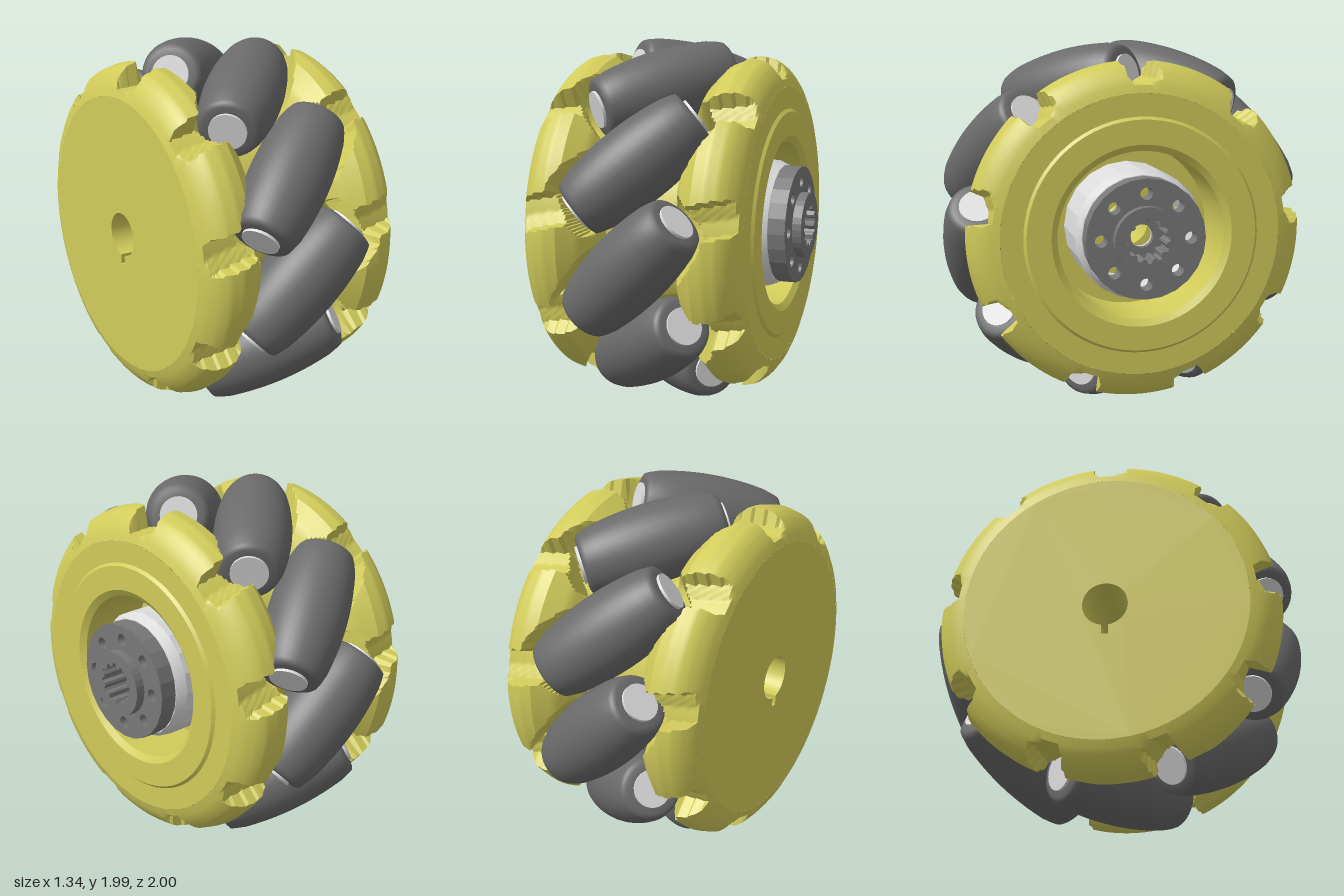
import * as THREE from 'three';
import { toCreasedNormals } from 'three/addons/utils/BufferGeometryUtils.js';

const COUNT = 9;              // rollers
const SECTOR = (Math.PI * 2) / COUNT;
const FIRST = Math.PI / 6;    // angle of the first roller, from +z towards +y
const ORBIT = 0.79;           // distance of roller axes from the wheel axis
const MID = -0.07;            // x of the wheel's middle plane
const HALF = 0.385;           // half length of a roller

const mat = (name, color, side = THREE.FrontSide) => {
  const m = new THREE.MeshStandardMaterial({ color, side });
  m.name = name;
  return m;
};

// Barrel radius, so that the slanted rollers together roll as one circle
const rollerRadius = (t) => 1 - Math.sqrt(ORBIT * ORBIT + (t * t) / 2);

// Half profile of the rim: distance from the middle plane, radius
const RIM = [[0, 0.6], [0.2, 0.62], [0.22, 0.72], [0.27, 0.82], [0.36, 0.9],
  [0.43, 0.912], [0.5, 0.895], [0.54, 0.865], [0.58, 0.81], [0.6, 0.75]];
function rimRadius(o) {
  const a = Math.abs(o);
  for (let i = 1; i < RIM.length; i++) {
    const [x0, r0] = RIM[i - 1], [x1, r1] = RIM[i];
    if (a <= x1) return r0 + ((r1 - r0) * (a - x0)) / (x1 - x0);
  }
  return 0.75;
}

// Is the point (offset, radius, angle from roller) in a roller pocket or its end slot?
function inPocket(o, r, d) {
  const s = r * Math.sin(d);
  const t = (o + s) / Math.SQRT2, w = (o - s) / Math.SQRT2;
  const h = r * Math.cos(d) - ORBIT;
  if (Math.abs(t) < 0.415) {
    const c = rollerRadius(t) + 0.02;
    if (Math.abs(w) < c && (h > 0 || w * w + h * h < c * c)) return true;
  }
  const a = Math.abs(o), side = Math.sign(o);
  const off = d * ORBIT * side - (0.25 + 0.2 * (a - 0.27));
  return a > 0.2 && r > 0.79 + 0.5 * Math.max(0, off) && off > -0.09 && off < 0.07;
}

// Rim surface: the profile turned round the axis, lowered where pockets cut it
function rimGeometry() {
  const NX = 90, NS = 40, N = NS * COUNT;
  const heights = [];
  for (let i = 0; i <= NX; i++) {
    const o = -0.6 + (1.2 * i) / NX;
    const row = [];
    for (let j = 0; j < NS; j++) {
      const top = rimRadius(o);
      let r = Math.min(top, 0.5);
      const hit = (q) => [-1, 0, 1, 2].some((k) => inPocket(o, q, (j / NS - k) * SECTOR));
      while (r < top && !hit(r)) r += 0.005;
      row.push(Math.min(r, top));
    }
    heights.push(row);
  }
  const pos = [], idx = [];
  for (let i = 0; i <= NX; i++) {
    for (let j = 0; j <= N; j++) {
      const a = FIRST + (j / NS) * SECTOR, r = heights[i][j % NS];
      pos.push(MID - 0.6 + (1.2 * i) / NX, r * Math.sin(a), r * Math.cos(a));
      if (i < NX && j < N) {
        const p = i * (N + 1) + j, q = p + N + 1;
        idx.push(p, q, q + 1, p, q + 1, p + 1);
      }
    }
  }
  const g = new THREE.BufferGeometry();
  g.setAttribute('position', new THREE.Float32BufferAttribute(pos, 3));
  g.setIndex(idx);
  return toCreasedNormals(g, 0.5);
}

// Turned part along x from [radius, x] points
function turned(points, segments, crease = 0.5) {
  const g = new THREE.LatheGeometry(points.map(([r, x]) => new THREE.Vector2(r, x)), segments);
  g.rotateZ(-Math.PI / 2);
  return toCreasedNormals(g, crease);
}

const disc = (r, x = 0, y = 0, Type = THREE.Shape) => new Type().absarc(x, y, r, 0, Math.PI * 2, false);

// Flat plate with holes, from x0 to x1
function plate(shape, x0, x1, curveSegments = 24) {
  const g = new THREE.ExtrudeGeometry(shape, { depth: x1 - x0, bevelEnabled: false, curveSegments });
  g.rotateY(Math.PI / 2);
  g.translate(x0, 0, 0);
  return g;
}

// Toothed bore
function splineHole() {
  const pts = [];
  for (let i = 0; i < 48; i++) {
    const r = i % 4 < 2 ? 0.118 : 0.098, a = (i / 48) * Math.PI * 2;
    pts.push(new THREE.Vector2(r * Math.cos(a), r * Math.sin(a)));
  }
  return new THREE.Path(pts);
}

export function createModel() {
  const yellow = mat('yellow plastic', 0xd1cb5a);
  const rubber = mat('dark rubber', 0x6a6a6a);
  const steel = mat('grey steel', 0x787878);
  const light = mat('light metal', 0xdcdcdc);

  const model = new THREE.Group();
  model.name = 'rollerWheel';
  const wheel = new THREE.Group();
  wheel.name = 'wheel';
  wheel.position.y = 1;
  model.add(wheel);
  const add = (name, geometry, material, parent = wheel) => {
    const m = new THREE.Mesh(geometry, material);
    m.name = name;
    parent.add(m);
    return m;
  };

  // Rim, and the outer face with its recess and bore
  add('rim', rimGeometry(), yellow);
  add('outerFace', turned([[0.75, 0.53], [0.63, 0.53], [0.615, 0.545], [0.485, 0.545],
    [0.45, 0.52], [0.45, 0.15], [0.12, 0.15], [0.12, -0.5]], 72), yellow);

  // Inner face with keyed bore
  const back = disc(0.75);
  const key = new THREE.Path();
  key.absarc(0, 0, 0.12, -Math.PI / 2 + 0.15, Math.PI * 1.5 - 0.15, false);
  key.lineTo(-0.018, -0.17);
  key.lineTo(0.018, -0.17);
  key.closePath();
  back.holes.push(key);
  add('innerFace', plate(back, -0.67, -0.47, 36), yellow);

  // Light collar in the recess
  add('collar', turned([[0.35, 0.15], [0.35, 0.47], [0.325, 0.525], [0.29, 0.525], [0.29, 0.15]], 20, 0.3), light);

  // Bolted hub flange and splined boss
  const flange = disc(0.32);
  for (let i = 0; i < 8; i++) {
    const a = (i * Math.PI) / 4;
    flange.holes.push(disc(0.033, 0.24 * Math.cos(a), 0.24 * Math.sin(a), THREE.Path));
  }
  flange.holes.push(splineHole());
  add('hubFlange', plate(flange, 0.52, 0.62, 12), steel);
  const boss = disc(0.178);
  boss.holes.push(splineHole());
  add('hubBoss', plate(boss, 0.62, 0.67, 16), steel);
  const washer = disc(0.16);
  washer.holes.push(disc(0.062, 0, 0, THREE.Path));
  add('boreStop', plate(washer, 0.48, 0.52, 16), steel);
  add('boreBacking', plate(washer, 0.46, 0.48, 16), light);

  // Rollers: barrel with rounded ends around a light core
  const end = rollerRadius(HALF);
  const profile = [[0.09, -HALF], [end - 0.03, -HALF], [end - 0.009, -HALF + 0.009], [end, -HALF + 0.03]];
  for (let i = 1; i < 12; i++) {
    const t = (-1 + i / 6) * (HALF - 0.03);
    profile.push([rollerRadius(t), t]);
  }
  profile.push([end, HALF - 0.03], [end - 0.009, HALF - 0.009], [end - 0.03, HALF], [0.09, HALF]);
  const barrel = turned(profile, 40, 0.85);
  const core = new THREE.CylinderGeometry(0.1, 0.1, HALF * 2 + 0.03, 24).rotateZ(Math.PI / 2);
  for (let k = 0; k < COUNT; k++) {
    const a = FIRST + k * SECTOR;
    const spoke = new THREE.Group();
    spoke.name = 'roller' + (k + 1);
    spoke.rotation.x = -a;
    const roller = new THREE.Group();
    roller.name = 'rollerAxis';
    roller.position.set(MID, 0, ORBIT);
    roller.rotation.z = Math.PI / 4;
    spoke.add(roller);
    add('rollerBarrel', barrel, rubber, roller);
    add('rollerCore', core, light, roller);
    wheel.add(spoke);
  }
  return model;
}
